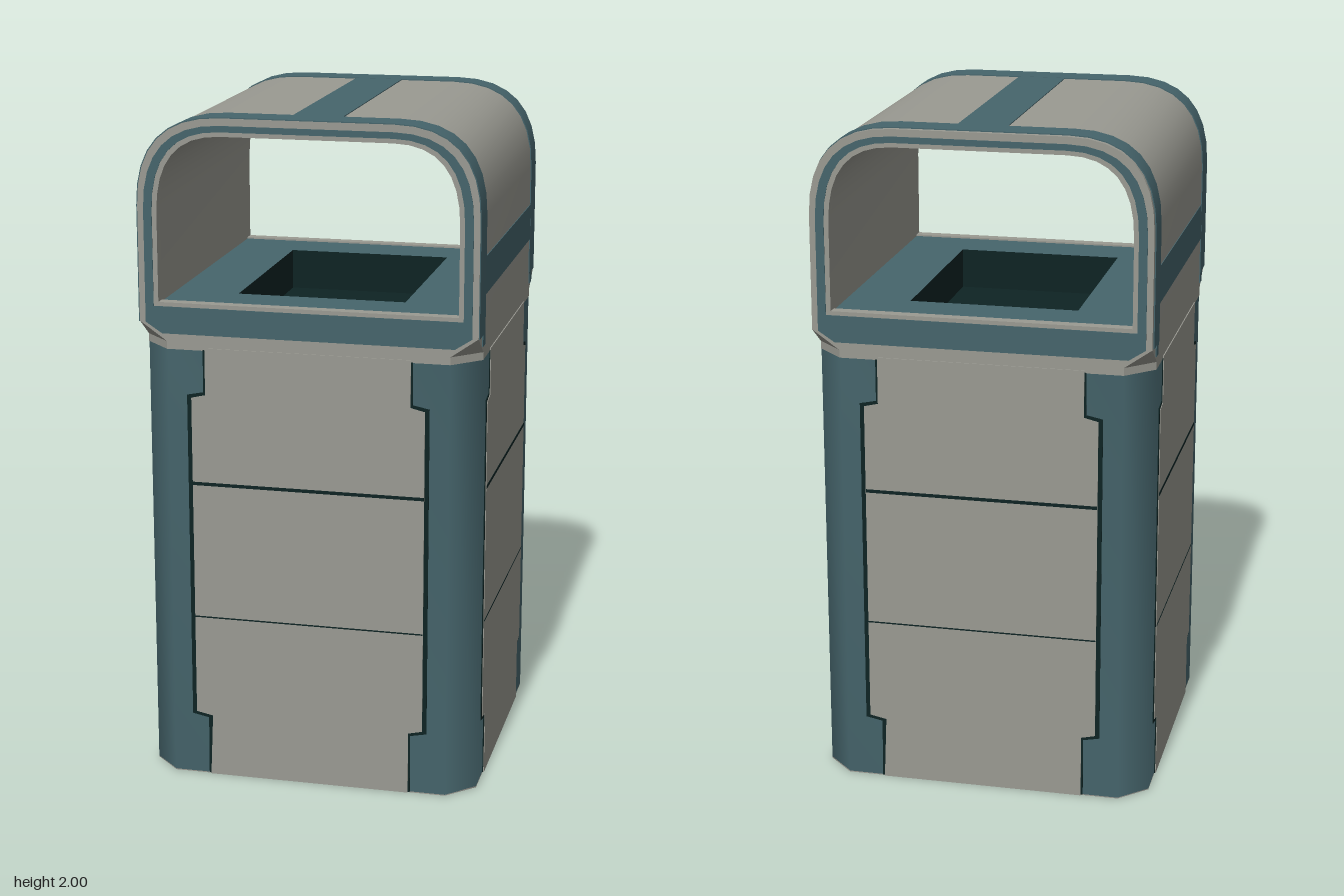
import * as THREE from 'three';
import { toCreasedNormals } from 'three/addons/utils/BufferGeometryUtils.js';

function mat(name, color) {
  const m = new THREE.MeshStandardMaterial({ color });
  m.name = name;
  return m;
}

export function createModel() {
  const grey = mat('warm grey', 0x9a9a92);
  const teal = mat('slate teal', 0x46656c);
  const dark = mat('dark seam', 0x0e2424);
  const model = new THREE.Group();

  const add = (name, geo, material, parent = model) => {
    const mesh = new THREE.Mesh(geo, material);
    mesh.name = name;
    parent.add(mesh);
    return mesh;
  };
  const box = (name, material, w, h, d, x, y, z, parent) =>
    add(name, new THREE.BoxGeometry(w, h, d).translate(x, y, z), material, parent);
  const poly = (pts) => new THREE.Shape(pts.map((p) => new THREE.Vector2(...p)));
  const extrude = (shape, z0, z1) => toCreasedNormals(
    new THREE.ExtrudeGeometry(shape, { depth: z1 - z0, bevelEnabled: false, curveSegments: 8 })
      .translate(0, 0, z0), 0.9);
  const upright = (shape, y0, y1) => extrude(shape, y0, y1).rotateX(-Math.PI / 2);

  // Square with cut corners, listed counter-clockwise
  const octagon = (h, c) => [[h, c - h], [h, h - c], [h - c, h], [c - h, h],
    [-h, h - c], [-h, c - h], [c - h, -h], [h - c, -h]];

  // Square arch with rounded top corners; low adds a narrower foot
  function trace(path, w, bottom, top, bend, low) {
    path.moveTo(-w, bottom);
    if (low) path.lineTo(-0.43, low).lineTo(0.43, low);
    path.lineTo(w, bottom).lineTo(w, bend)
      .quadraticCurveTo(w, top, 0.25, top)
      .lineTo(-0.25, top)
      .quadraticCurveTo(-w, top, -w, bend)
      .lineTo(-w, bottom);
    return path;
  }
  function ring(outer, inner) {
    const shape = trace(new THREE.Shape(), ...outer);
    shape.holes.push(trace(new THREE.Path(), ...inner));
    return shape;
  }
  // Open arch with two feet
  function arch(w, top, wi, topi) {
    const s = new THREE.Shape();
    s.moveTo(w, 1.4).lineTo(w, 1.74).quadraticCurveTo(w, top, 0.25, top)
      .lineTo(-0.25, top).quadraticCurveTo(-w, top, -w, 1.74).lineTo(-w, 1.4)
      .lineTo(-wi, 1.4).lineTo(-wi, 1.72).quadraticCurveTo(-wi, topi, -0.25, topi)
      .lineTo(0.25, topi).quadraticCurveTo(wi, topi, wi, 1.72).lineTo(wi, 1.4);
    return s;
  }

  // Body and base
  add('bodyCorners', upright(poly(octagon(0.496, 0.08)), 0.003, 1.325), teal);
  add('base', upright(poly(octagon(0.496, 0.08)), 0, 0.004), grey);

  // Side panels: narrow at both ends, with a dark outline behind
  const panelShape = (wide, narrow, y0, y1, e) => poly([
    [-narrow, y0], [narrow, y0], [narrow, 0.19 - e], [wide, 0.2 - e], [wide, 1.18 + e],
    [narrow, 1.19 + e], [narrow, y1], [-narrow, y1], [-narrow, 1.19 + e],
    [-wide, 1.18 + e], [-wide, 0.2 - e], [-wide + 0.05, 0.19 - e]]);
  for (let i = 0; i < 4; i++) {
    const side = new THREE.Group();
    side.name = 'sidePanel' + (i + 1);
    side.rotation.y = i * Math.PI / 2;
    add('panelOutline', extrude(panelShape(0.359, 0.31, 0.002, 1.324, 0.008), 0.49, 0.498), dark, side);
    add('panel', extrude(panelShape(0.346, 0.304, 0, 1.33, 0), 0.492, 0.5), grey, side);
    box('upperSeam', dark, 0.69, 0.01, 0.004, 0, 0.92, 0.499, side);
    box('lowerSeam', dark, 0.69, 0.004, 0.004, 0, 0.505, 0.499, side);
    model.add(side);
  }

  // Collar: cut corners grow into the square corners of the hood
  const rows = [[1.322, 0.08], [1.345, 0.08], [1.4, 0.002]];
  const pos = [], idx = [];
  rows.forEach(([y, c]) => octagon(0.497, c).forEach(([x, z]) => pos.push(x, y, -z)));
  for (let r = 0; r < 2; r++) {
    for (let i = 0; i < 8; i++) {
      const a = r * 8 + i, b = r * 8 + (i + 1) % 8;
      idx.push(a, b, b + 8, a, b + 8, a + 8);
    }
  }
  let collar = new THREE.BufferGeometry();
  collar.setAttribute('position', new THREE.Float32BufferAttribute(pos, 3));
  collar.setIndex(idx);
  collar = collar.toNonIndexed();
  collar.computeVertexNormals();
  add('collar', collar, grey);

  // Hood tunnel and the floor with its chute
  add('hood', extrude(arch(0.497, 1.997, 0.44, 1.945), -0.496, 0.496), grey);
  const floor = poly([[-0.44, -0.47], [0.44, -0.47], [0.44, 0.47], [-0.44, 0.47]]);
  floor.holes.push(new THREE.Path([[-0.25, -0.32], [-0.25, 0.32], [0.25, 0.32], [0.25, -0.32]]
    .map((p) => new THREE.Vector2(...p))));
  add('hoodFloor', new THREE.ExtrudeGeometry(floor, { depth: 0.129, bevelEnabled: false })
    .rotateX(-Math.PI / 2).translate(0, 1.326, 0), [teal, dark]);
  box('chuteBottom', dark, 0.6, 0.006, 0.7, 0, 1.33, 0);

  // Opening frames at both ends
  for (const s of [1, -1]) {
    const end = new THREE.Group();
    end.name = s > 0 ? 'frontFrame' : 'backFrame';
    end.rotation.y = s > 0 ? 0 : Math.PI;
    add('frame', extrude(ring([0.497, 1.4, 1.997, 1.74], [0.44, 1.46, 1.945, 1.72]), 0.465, 0.498), grey, end);
    add('frameStripe', extrude(ring([0.479, 1.4, 1.976, 1.73, 1.368],
      [0.454, 1.448, 1.958, 1.725]), 0.494, 0.5), teal, end);
    model.add(end);
  }

  // Painted bands around the hood
  for (const [z0, z1] of [[0.405, 0.497], [-0.482, -0.395]]) {
    add('hoodBand', extrude(arch(0.5, 2, 0.494, 1.994), z0, z1), teal);
    for (const x of [-0.497, 0.497]) {
      box('hoodBandFoot', teal, 0.006, 0.036, 0.035, x, 1.384, Math.sign(z0) * 0.423);
    }
  }
  for (const x of [-0.497, 0.497]) box('sideStripe', teal, 0.005, 0.11, 0.84, x, 1.565, 0);
  box('topStripe', teal, 0.145, 0.005, 0.84, 0.0125, 1.997, 0);

  return model;
}
